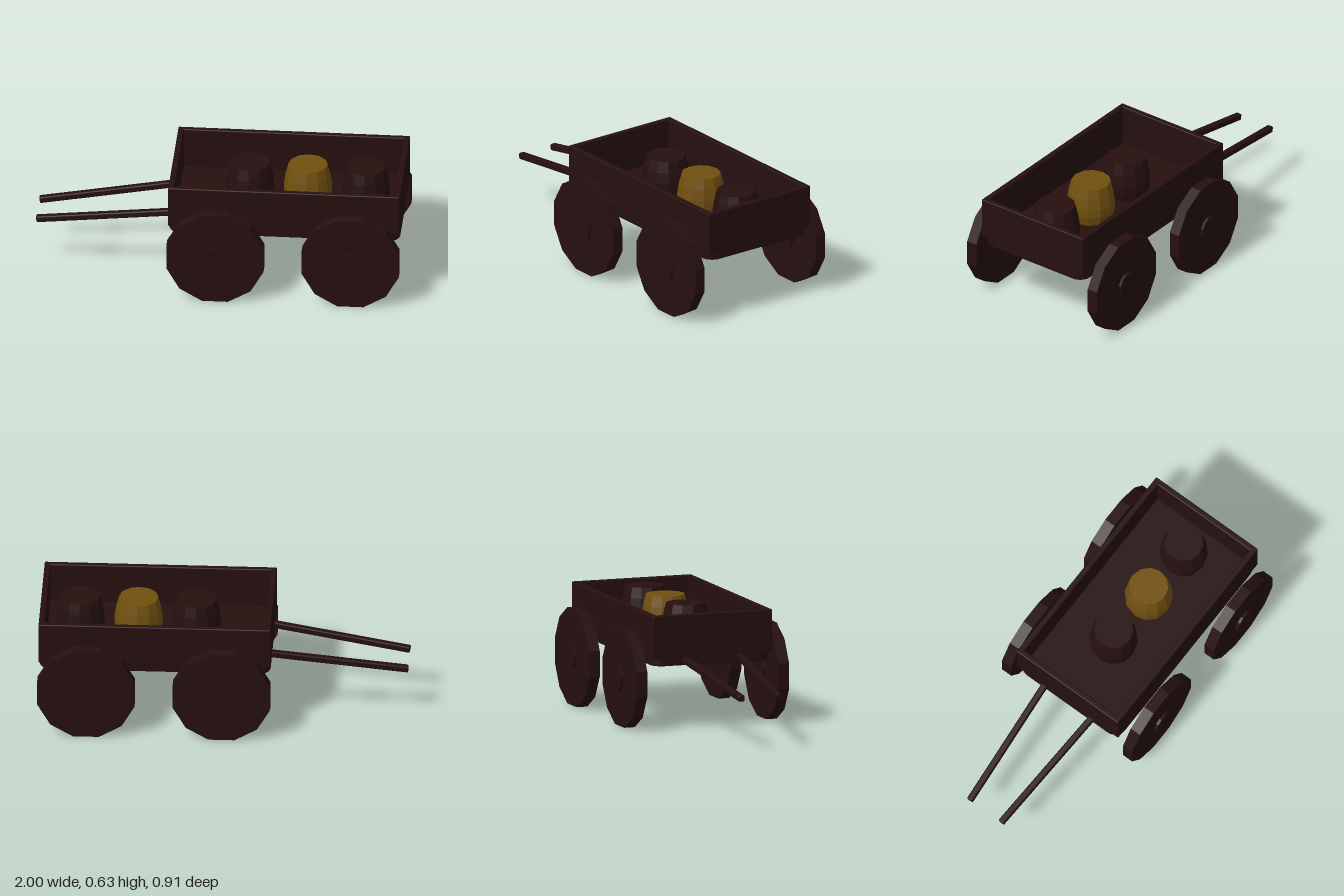
import * as THREE from 'three';
import { RoundedBoxGeometry } from 'three/addons/geometries/RoundedBoxGeometry.js';

const wood = new THREE.MeshStandardMaterial({ color: 0x260f0f });
wood.name = 'darkWood';
const ochre = new THREE.MeshStandardMaterial({ color: 0x70500f });
ochre.name = 'ochre';

// Give every face its own normals for a faceted look
function faceted(geometry) {
  const flat = geometry.index ? geometry.toNonIndexed() : geometry;
  flat.computeVertexNormals();
  return flat;
}

function add(parent, name, geometry, material, x = 0, y = 0, z = 0) {
  const mesh = new THREE.Mesh(geometry, material);
  mesh.name = name;
  mesh.position.set(x, y, z);
  parent.add(mesh);
  return mesh;
}

// Twelve-sided disc standing upright with a flat side down, axis along z
function disc(radius, depth) {
  const g = new THREE.CylinderGeometry(radius, radius, depth, 12);
  g.rotateY(Math.PI / 12);
  g.rotateX(Math.PI / 2);
  return faceted(g);
}

// Floor board with rounded corners and softened edges
function floorGeometry(length, width, height, r, bevel) {
  const a = length / 2 - bevel, b = width / 2 - bevel;
  const s = new THREE.Shape();
  s.moveTo(-a + r, -b);
  s.lineTo(a - r, -b);
  s.absarc(a - r, -b + r, r, -Math.PI / 2, 0);
  s.lineTo(a, b - r);
  s.absarc(a - r, b - r, r, 0, Math.PI / 2);
  s.lineTo(-a + r, b);
  s.absarc(-a + r, b - r, r, Math.PI / 2, Math.PI);
  s.lineTo(-a, -b + r);
  s.absarc(-a + r, -b + r, r, Math.PI, Math.PI * 1.5);
  const g = new THREE.ExtrudeGeometry(s, {
    depth: height - 2 * bevel, bevelThickness: bevel, bevelSize: bevel,
    bevelSegments: 2, curveSegments: 5,
  });
  g.translate(0, 0, bevel);
  g.rotateX(-Math.PI / 2);
  return g;
}

export function createModel() {
  const cart = new THREE.Group();
  cart.name = 'handCart';

  // Open box: floor and four walls
  const cx = 0.367, length = 1.259, width = 0.69, wall = 0.032;
  const wallH = 0.235, wallY = 0.4 + wallH / 2;
  const body = new THREE.Group();
  body.name = 'body';
  cart.add(body);
  add(body, 'floor', floorGeometry(length - 0.005, width - 0.01, 0.052, 0.06, 0.008), wood, cx, 0.356, 0);
  for (const s of [1, -1]) {
    add(body, s > 0 ? 'leftEndBoard' : 'rightEndBoard',
      new RoundedBoxGeometry(wall, wallH, width, 2, 0.006), wood,
      cx + s * (length - wall) / 2, wallY, 0);
    add(body, s > 0 ? 'frontSideBoard' : 'backSideBoard',
      new RoundedBoxGeometry(length, wallH, wall, 2, 0.006), wood,
      cx, wallY, s * (width - wall) / 2);
  }

  // Four solid wheels with hubs
  const wheelGeometry = disc(0.2733, 0.062);
  const hubGeometry = disc(0.069, 0.092);
  for (const x of [0, 0.735]) {
    for (const s of [1, -1]) {
      const wheel = new THREE.Group();
      wheel.name = 'wheel';
      wheel.position.set(x, 0.264, s * 0.41);
      cart.add(wheel);
      add(wheel, 'wheelDisc', wheelGeometry, wood);
      add(wheel, 'hub', hubGeometry, wood);
    }
  }

  // Two pull shafts that slope down and draw together
  for (const s of [1, -1]) {
    const from = new THREE.Vector3(-0.235, 0.39, s * 0.16);
    const to = new THREE.Vector3(-0.998, 0.282, s * 0.106);
    const shaft = add(cart, 'shaft',
      new RoundedBoxGeometry(0.036, 0.036, from.distanceTo(to), 2, 0.008), wood);
    shaft.position.copy(from).add(to).multiplyScalar(0.5);
    shaft.lookAt(to);
  }

  // Three barrels standing in a row
  const profile = [[0, 0.4], [0.115, 0.4], [0.13, 0.46], [0.131, 0.51], [0.122, 0.57], [0.107, 0.628], [0, 0.628]];
  const barrelGeometry = faceted(new THREE.LatheGeometry(
    profile.map(([r, y]) => new THREE.Vector2(r, y)), 12));
  [0.155, 0.47, 0.785].forEach((x, i) => {
    add(cart, 'barrel', barrelGeometry, i === 1 ? ochre : wood, x, 0, 0);
  });

  return cart;
}
